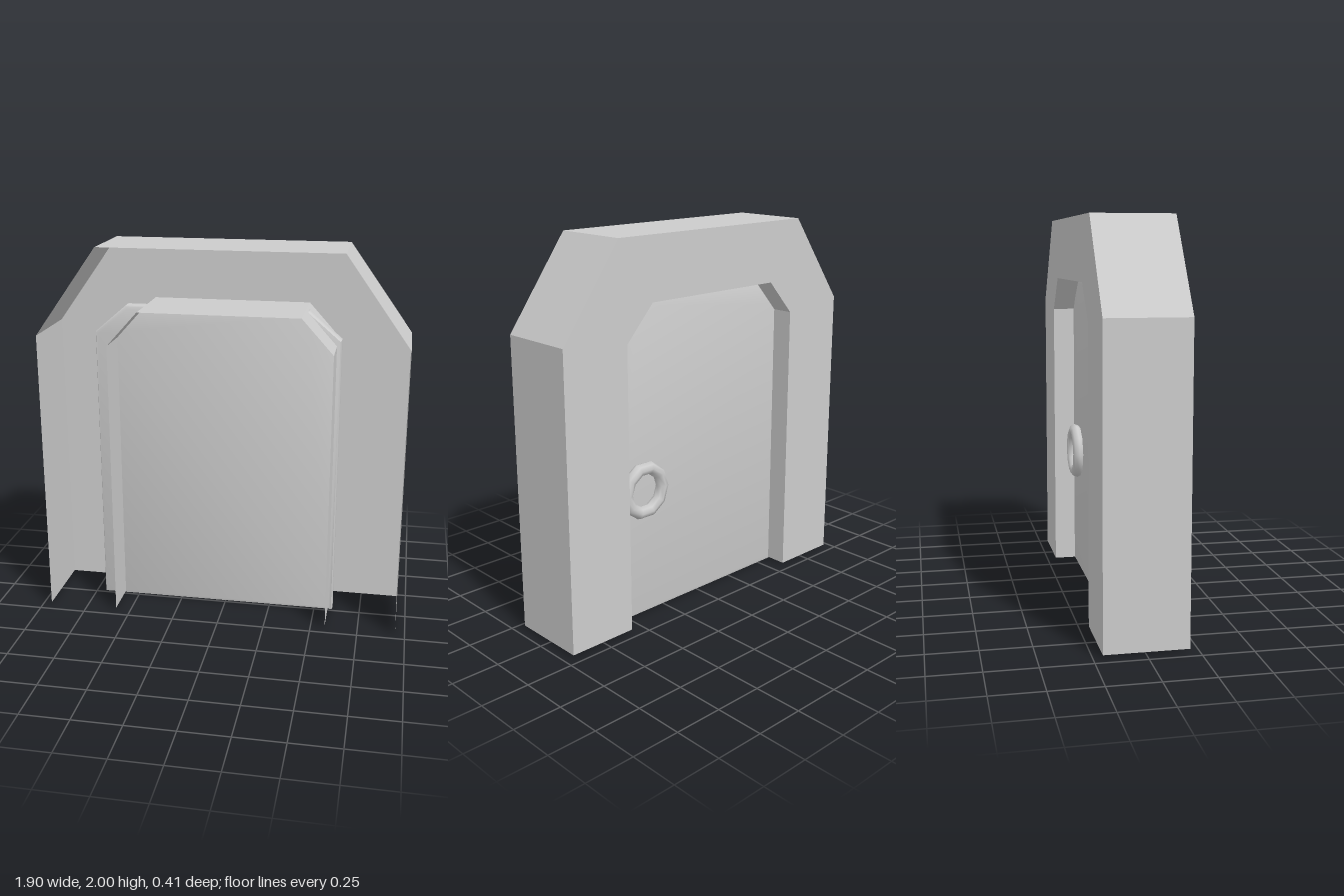
import * as THREE from 'three';
import { toCreasedNormals } from 'three/addons/utils/BufferGeometryUtils.js';

const DEPTH = 0.41, BASE = 0.015;

// Arch with chamfered shoulders, from lower right round to lower left
function archPoints(half, cornerX, shoulderY, topY, base = BASE, centre = 0) {
  const right = [[half, base], [half, shoulderY], [cornerX, topY]];
  const left = right.map(([x, y]) => [-x, y]).reverse();
  return [...right, ...left].map(([x, y]) => new THREE.Vector2(x + centre, y));
}

// Open strip of flat walls following the arch through the frame depth
function ribbon(points) {
  const pos = [], front = DEPTH / 2, back = -DEPTH / 2;
  for (let i = 0; i < points.length - 1; i++) {
    const a = points[i], b = points[i + 1];
    pos.push(a.x, a.y, front, a.x, a.y, back, b.x, b.y, back);
    pos.push(a.x, a.y, front, b.x, b.y, back, b.x, b.y, front);
  }
  const geo = new THREE.BufferGeometry();
  geo.setAttribute('position', new THREE.Float32BufferAttribute(pos, 3));
  geo.computeVertexNormals();
  return geo;
}

export function createModel() {
  const group = new THREE.Group();
  const grey = new THREE.MeshStandardMaterial({ color: 0xcccccc, side: THREE.DoubleSide });
  grey.name = 'grey';
  const add = (name, geo) => {
    const mesh = new THREE.Mesh(geo, grey);
    mesh.name = name;
    group.add(mesh);
    return mesh;
  };

  // Hollow frame: outer walls, doorway lining and the plate joining them
  const outer = archPoints(0.95, 0.62, 1.54, 2);
  const inner = archPoints(0.577, 0.415, 1.5, 1.68);
  add('frameOuterWalls', ribbon(outer));
  add('doorwayLining', ribbon(inner));
  const plate = new THREE.Shape([...outer, ...inner.slice().reverse()]);
  add('framePlate', new THREE.ShapeGeometry(plate)).position.z = -DEPTH / 2;

  // Door panel with softened edges, set slightly off centre
  const bevel = 0.02, thickness = 0.09;
  const panel = new THREE.ExtrudeGeometry(
    new THREE.Shape(archPoints(0.65, 0.48, 1.525, 1.67, 0, -0.05)),
    {
      depth: thickness - 2 * bevel, bevelEnabled: true, bevelSize: bevel,
      bevelThickness: bevel, bevelOffset: -bevel, bevelSegments: 2,
    });
  add('doorPanel', toCreasedNormals(panel, 0.7)).position.z = bevel - thickness;

  // Ring handle
  add('ringHandle', new THREE.TorusGeometry(0.12, 0.033, 8, 10)).position.set(0.4, 0.7, -0.11);

  return group;
}
